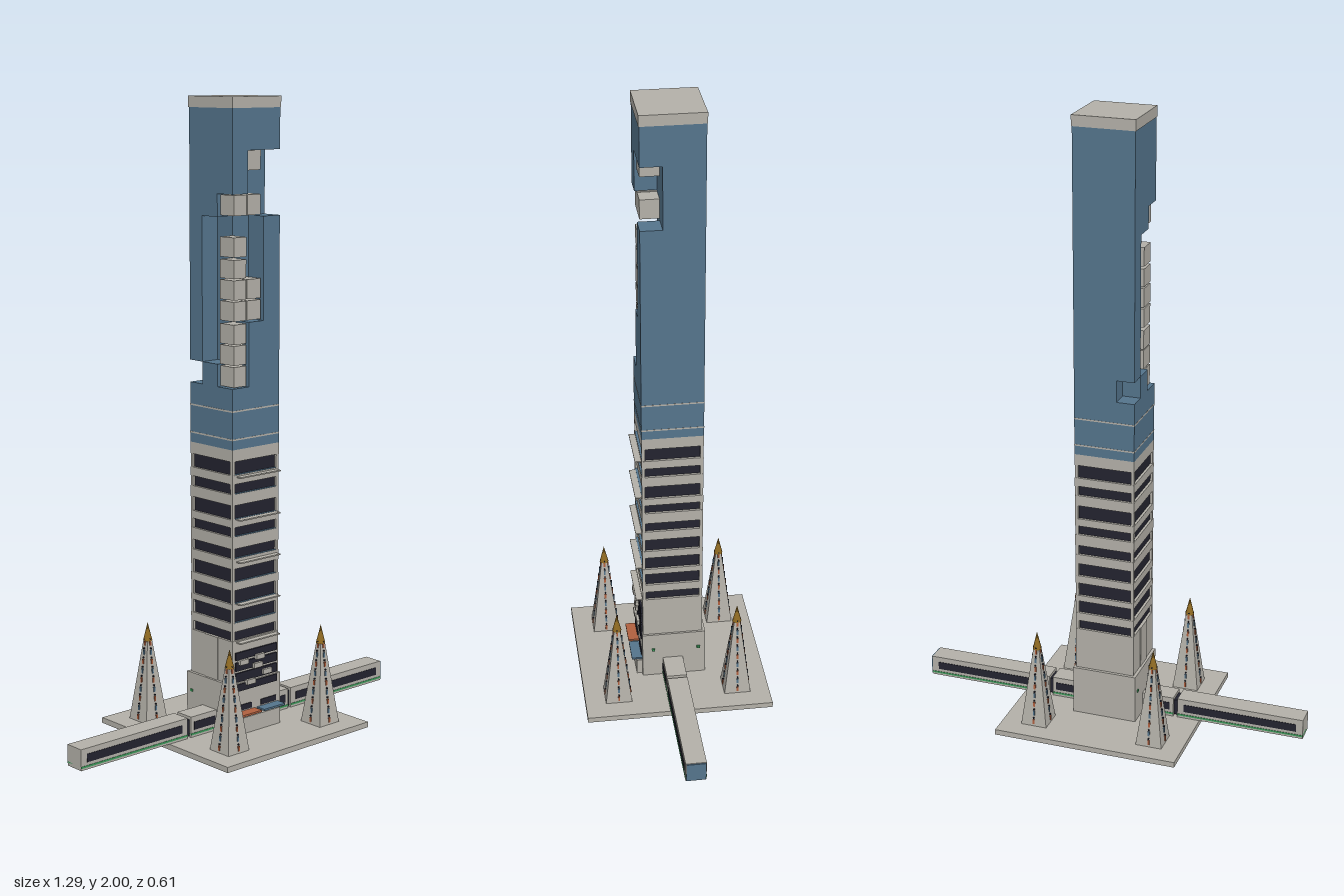
import * as THREE from 'three';

const mat = (name, color) => {
  const m = new THREE.MeshStandardMaterial({ color });
  m.name = name;
  return m;
};

export function createModel() {
  const root = new THREE.Group();
  const concrete = mat('concrete', 0xb3b0a8), glass = mat('blueGlass', 0x54748c);
  const dark = mat('darkWindow', 0x23232f), gold = mat('gold', 0x8f6a22);
  const red = mat('redAwning', 0xb0603f), green = mat('greenStripe', 0x3f9a5c);

  // Box from its limits on each axis
  const box = (name, m, x0, x1, y0, y1, z0, z1, parent = root) => {
    const mesh = new THREE.Mesh(new THREE.BoxGeometry(x1 - x0, y1 - y0, z1 - z0), m);
    mesh.position.set((x0 + x1) / 2, (y0 + y1) / 2, (z0 + z1) / 2);
    mesh.name = name;
    parent.add(mesh);
    return mesh;
  };
  const W = 0.098;

  // Ground slab and podium
  box('baseSlab', concrete, -0.303, 0.303, 0, 0.018, -0.303, 0.303);
  box('lowerTower', concrete, -W, W, 0.018, 0.32, -W, W);
  box('podium', concrete, -0.108, 0.105, 0.018, 0.18, -0.108, 0.1);
  box('sidePanel', concrete, -0.108, 0.105, 0.18, 0.32, -0.03, 0.03).scale.x = 0.93;

  // Banded lower tower: dark core with floor slabs and corner posts
  const bands = [[0.32, 0.35], [0.378, 0.42], [0.44, 0.484], [0.51, 0.553], [0.585, 0.617],
    [0.655, 0.685], [0.71, 0.755], [0.79, 0.822], [0.85, 0.893]];
  box('windowCore', dark, -0.09, 0.09, 0.318, 0.9, -0.09, 0.09);
  bands.forEach(([, top], i) => {
    const next = i + 1 < bands.length ? bands[i + 1][0] : 0.93;
    box('floorSlab', concrete, -W, W, top, next, -W, W);
    box('slabGlassTop', glass, -0.088, 0.088, next, next + 0.002, 0.09, 0.097);
  });
  for (const x of [-1, 1]) for (const z of [-1, 1]) {
    const p = box('cornerPost', concrete, -0.005, 0.005, 0.32, 0.93, -0.005, 0.005);
    p.position.x = x * 0.0925;
    p.position.z = z * 0.0925;
  }
  for (const y of [0.315, 0.44, 0.575, 0.71, 0.845])
    box('frontLedge', concrete, -0.08, 0.088, y - 0.003, y + 0.001, 0.09, 0.118);

  // Front entrance: windows, ledges, awnings and steps
  for (const [y0, y1] of [[0.155, 0.178], [0.186, 0.215], [0.222, 0.25], [0.258, 0.282]])
    box('frontWindow', dark, -0.088, 0.088, y0, y1, 0.095, 0.104);
  for (const [x, y] of [[0, 0.228], [-0.03, 0.18], [0.04, 0.2], [0.01, 0.255], [-0.06, 0.25]])
    box('frontBox', concrete, x - 0.018, x + 0.018, y - 0.008, y + 0.008, 0.1, 0.113);
  box('entrancePorch', concrete, -0.09, 0.09, 0.018, 0.07, 0.1, 0.118);
  box('redAwning', red, -0.096, -0.005, 0.08, 0.086, 0.1, 0.135);
  box('blueAwning', glass, 0.005, 0.096, 0.08, 0.086, 0.1, 0.135);
  for (const s of [-1, 1]) {
    const x0 = s < 0 ? -0.085 : 0.02;
    box('shopWindow', dark, x0, x0 + 0.065, 0.09, 0.108, 0.095, 0.103);
    for (const z of [-0.09, 0.06]) {
      const sign = box('sideLamp', green, -0.003, 0.003, 0.117, 0.125, z, z + 0.01);
      sign.position.x = s * 0.108;
    }
  }

  // Glass upper tower, built around stepped corner notches
  const tower = new THREE.Group();
  tower.name = 'glassTower';
  root.add(tower);
  const Z = 0.03;
  [
    [-W, W, 0.93, 1.12, -W, W],
    [-0.04, W, 1.12, 1.19, -W, Z], [-W, -0.04, 1.12, 1.19, -0.04, Z], [-0.03, W, 1.12, 1.32, Z, W],
    [-0.035, W, 1.19, 1.64, -W, Z], [-W, -0.035, 1.19, 1.64, -W, -0.04],
    [0.03, W, 1.32, 1.64, Z, W],
    [-W, W, 1.64, 1.84, -W, Z], [-W, -0.035, 1.71, 1.84, Z, W],
    [-W, W, 1.84, 1.968, -W, W],
  ].forEach(b => box('glassBlock', glass, ...b, tower));
  for (const y of [0.962, 1.05]) box('paleLine', concrete, -0.0985, 0.0985, y - 0.003, y + 0.002, -0.0985, 0.0985);
  box('roofCap', concrete, -0.1, 0.1, 1.966, 2, -0.1, 0.1);

  // Stacked cubes inside the notches
  const left = [-0.085, -0.034], right = [-0.03, 0.025];
  [[left, 1.122, 1.185], [left, 1.19, 1.25], [left, 1.254, 1.315], [left, 1.325, 1.385],
    [left, 1.39, 1.45], [left, 1.455, 1.512], [left, 1.52, 1.58], [right, 1.325, 1.385],
    [right, 1.39, 1.45], [left, 1.645, 1.707], [right, 1.645, 1.707], [right, 1.78, 1.839]]
    .forEach(([x, y0, y1]) => box('notchCube', concrete, x[0], x[1], y0, y1, 0.028, 0.09));

  // Train passing through the podium
  [[-0.648, -0.228], [-0.214, -0.1], [0.1, 0.206], [0.218, 0.642]].forEach(([x0, x1]) => {
    box('trainCar', concrete, x0, x1, 0.018, 0.085, -0.033, 0.033);
    const pad = x1 - x0 > 0.2 ? 0.022 : 0.012;
    box('trainWindows', dark, x0 + pad, x1 - pad, 0.041, 0.067, -0.0345, 0.0345);
    box('trainStripe', green, x0, x1, 0.025, 0.031, -0.0345, 0.0345);
  });
  box('trainCoupling', dark, -0.229, -0.213, 0.022, 0.075, -0.025, 0.025);
  box('trainCoupling', dark, 0.205, 0.219, 0.022, 0.075, -0.025, 0.025);
  box('trainNose', glass, 0.64, 0.646, 0.02, 0.083, -0.031, 0.031);

  // Four tapering spires
  const H = 0.27, half = y => 0.043 - 0.034 * (y / H);
  for (const x of [-0.197, 0.194]) for (const z of [-0.197, 0.194]) {
    const g = new THREE.Group();
    g.name = 'spire';
    g.position.set(x, 0.018, z);
    root.add(g);
    // Stacked storeys, each stepping in slightly
    const n = 9;
    for (let i = 0; i < n; i++) {
      const y0 = (i / n) * H, y1 = ((i + 1) / n) * H;
      const geo = new THREE.CylinderGeometry(half(y1) * Math.SQRT2, half(y0) * Math.SQRT2, y1 - y0, 4)
        .rotateY(Math.PI / 4).toNonIndexed();
      geo.computeVertexNormals();
      const storey = new THREE.Mesh(geo, concrete);
      storey.position.y = (y0 + y1) / 2;
      storey.name = 'spireStorey';
      g.add(storey);
      // Coloured windows up the middle of each side
      for (let k = 0; k < 4; k++) {
        const side = new THREE.Group();
        side.rotation.y = k * Math.PI / 2;
        g.add(side);
        const d = half((y0 + y1) / 2);
        box('spireWindow', i % 2 ? glass : red, -0.003, 0.003, y0 + 0.007, y1 - 0.007, d - 0.004, d + 0.003, side);
        box('spireRib', dark, -0.002, 0.002, y1 - 0.004, y1, d - 0.004, d + 0.003, side);
      }
    }
    const tip = new THREE.Mesh(new THREE.ConeGeometry(0.015, 0.06, 8), gold);
    tip.position.y = H + 0.022;
    tip.name = 'spireTip';
    g.add(tip);
  }
  return root;
}
